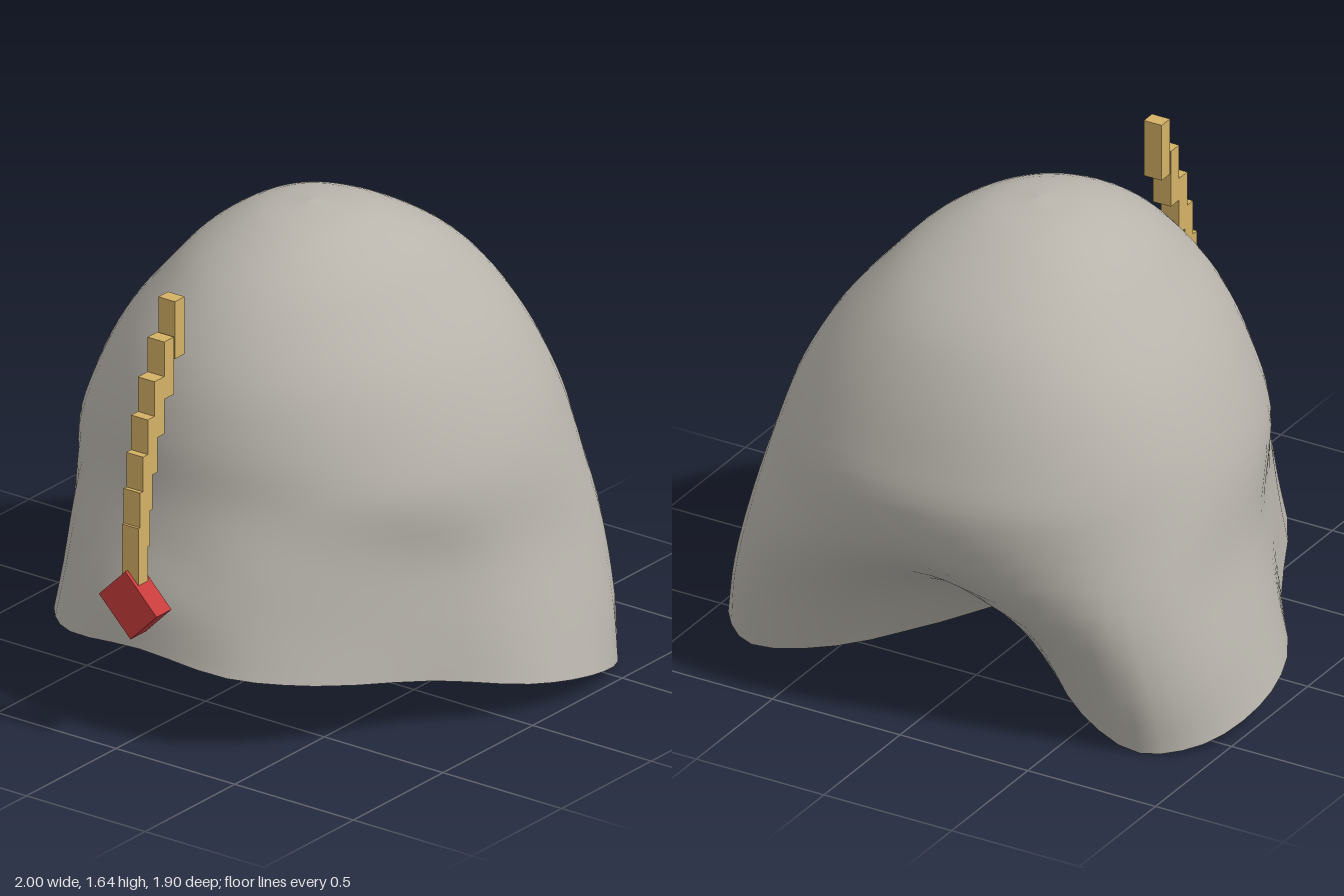
import * as THREE from 'three';

const AROUND = 60, UP = 36, WALL = 0.028;

// Half loops from front centre, round the +x side, to back centre
const rim = [
  [0, 0.32, 0.87], [0.33, 0.28, 0.82], [0.55, 0.24, 0.62], [0.76, 0.18, 0.23],
  [0.95, 0.12, -0.05], [1, 0.07, -0.32], [0.93, 0.02, -0.57], [0.76, 0, -0.7],
  [0.48, 0.03, -0.61], [0.2, 0.1, -0.4], [0, 0.15, -0.25],
];
const hem = [
  [0, 0.5, 0.84], [0.32, 0.44, 0.78], [0.54, 0.4, 0.58], [0.74, 0.36, 0.22],
  [0.89, 0.32, -0.05], [0.94, 0.28, -0.33], [0.9, 0.23, -0.58], [0.74, 0.22, -0.74],
  [0.47, 0.24, -0.71], [0.2, 0.3, -0.59], [0, 0.33, -0.5],
];
const nape = [
  [0, 0.66, 0.77], [0.3, 0.62, 0.73], [0.53, 0.6, 0.54], [0.72, 0.58, 0.2],
  [0.83, 0.56, -0.06], [0.86, 0.54, -0.33], [0.82, 0.53, -0.59], [0.67, 0.53, -0.77],
  [0.44, 0.55, -0.85], [0.2, 0.58, -0.88], [0, 0.59, -0.88],
];

// Level egg-shaped half loops of the dome: height, half width, front z, back z
const dome = [
  [0.82, 0.81, 0.72, -0.95], [1.0, 0.745, 0.685, -0.9], [1.2, 0.635, 0.61, -0.81],
  [1.37, 0.495, 0.49, -0.69], [1.5, 0.37, 0.34, -0.52], [1.605, 0.19, 0.12, -0.3],
  [1.637, 0.001, -0.089, -0.091],
].map(([y, w, front, back]) => {
  const mid = (front + back) / 2 - 0.12 * w;
  return rim.map((_, k) => {
    const a = (k / 10) * Math.PI, c = Math.cos(a), s = Math.max(0, Math.sin(a));
    const z = c > 0 ? mid + (front - mid) * c : mid - (mid - back) * Math.pow(-c, 0.9);
    return [w * (c < 0 ? Math.pow(s, 0.94) : s), y, z];
  });
});

// Mirror a half loop into a smooth closed curve
function closedLoop(half) {
  const mirrored = half.slice(1, -1).reverse().map(([x, y, z]) => [-x, y, z]);
  return new THREE.CatmullRomCurve3(
    [...half, ...mirrored].map((p) => new THREE.Vector3(...p)), true);
}

// Skin over rows of points; inward flips the facing
function skin(rows, inward = false) {
  const n = rows[0].length, index = [];
  for (let i = 0; i < rows.length - 1; i++) {
    for (let j = 0; j < n; j++) {
      const a = i * n + j, b = i * n + (j + 1) % n, c = b + n, d = a + n;
      if (inward) index.push(a, c, b, a, d, c);
      else index.push(a, b, c, a, c, d);
    }
  }
  const geometry = new THREE.BufferGeometry().setFromPoints(rows.flat());
  geometry.setIndex(index);
  geometry.computeVertexNormals();
  return geometry;
}

export function createModel() {
  const model = new THREE.Group();
  model.name = 'hood';
  const mat = (name, color) => {
    const m = new THREE.MeshStandardMaterial({ color });
    m.name = name;
    return m;
  };
  const grey = mat('grey cloth', 0xb8b4ac);
  const gold = mat('gold', 0xd4b166);
  const red = mat('red gem', 0xc83c3c);
  const add = (name, geometry, material) => {
    const mesh = new THREE.Mesh(geometry, material);
    mesh.name = name;
    model.add(mesh);
    return mesh;
  };

  // Outer shell, smoothed both around and upwards
  const loops = [rim, hem, nape, ...dome].map(closedLoop);
  const outer = Array.from({ length: UP + 1 }, () => []);
  for (let j = 0; j < AROUND; j++) {
    const rise = new THREE.CatmullRomCurve3(loops.map((l) => l.getPoint(j / AROUND)));
    for (let i = 0; i <= UP; i++) outer[i].push(rise.getPoint(i / UP));
  }
  const shell = skin(outer);
  add('outerShell', shell, grey);

  // Lining, set in by the wall thickness
  const normals = shell.attributes.normal;
  const inner = outer.map((row, i) => row.map((p, j) => {
    const n = new THREE.Vector3().fromBufferAttribute(normals, i * AROUND + j);
    return p.clone().addScaledVector(n, -WALL);
  }));
  add('lining', skin(inner, true), grey);
  add('rimEdge', skin([inner[0], outer[0]]), grey);

  // Stepped crest of overlapping gold bars in front
  const crest = new THREE.Group();
  crest.name = 'crest';
  [0.912, 0.902, 0.887, 0.86, 0.822, 0.768, 0.708].forEach((z, k) => {
    const bar = new THREE.Mesh(new THREE.BoxGeometry(0.07, 0.21, 0.054), gold);
    bar.name = 'crestBar';
    bar.position.set(0.013, 0.692 + k * 0.127, z);
    crest.add(bar);
  });
  model.add(crest);

  // Slightly skewed diamond gem at the foot of the crest
  const diamond = new THREE.Shape([
    [0.135, 0.5], [0.003, 0.633], [-0.108, 0.523], [0.025, 0.39],
  ].map(([x, y]) => new THREE.Vector2(x, y)));
  const gem = add('gem', new THREE.ExtrudeGeometry(diamond, { depth: 0.083, bevelEnabled: false }), red);
  gem.position.z = 0.87;

  return model;
}
